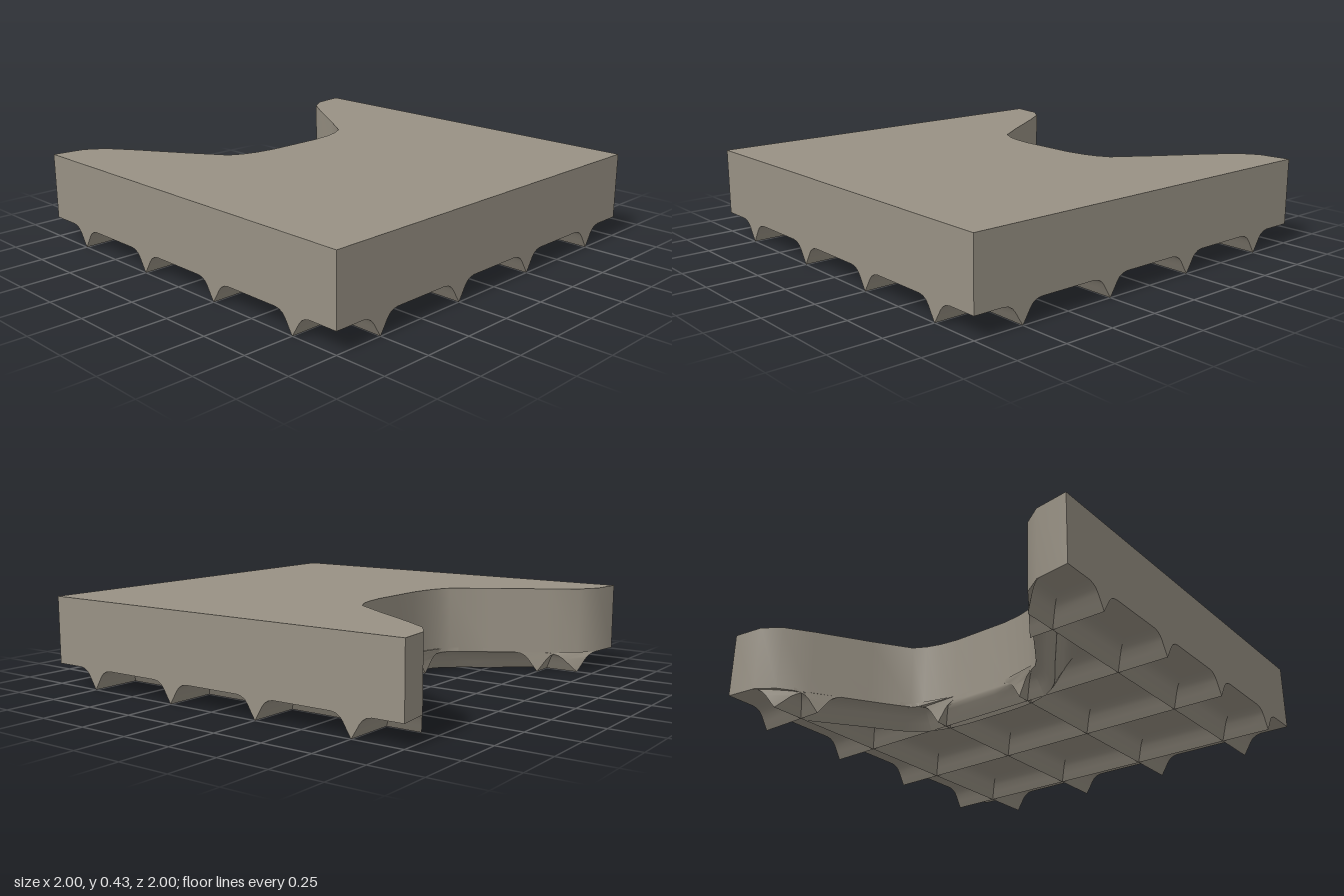
import * as THREE from 'three';
import { toCreasedNormals } from 'three/addons/utils/BufferGeometryUtils.js';

const SLAB_BOTTOM = 0.1, SLAB_TOP = 0.43;

// Half of the bay edge as [x, z], from the middle to the corner
const BAY = [
  [-0.3, 0], [-0.3, 0.15], [-0.313, 0.25], [-0.335, 0.325], [-0.37, 0.39],
  [-0.55, 0.51], [-0.79, 0.66], [-0.92, 0.75], [-0.98, 0.84], [-1, 1],
];

// Linear lookup in the bay edge: find column "to" for a value of column "from"
function lookup(value, from, to) {
  for (let i = 1; i < BAY.length; i++) {
    const a = BAY[i - 1], b = BAY[i];
    const lo = Math.min(a[from], b[from]), hi = Math.max(a[from], b[from]);
    if (hi > lo && value >= lo && value <= hi) {
      return a[to] + (b[to] - a[to]) * (value - a[from]) / (b[from] - a[from]);
    }
  }
  return BAY[BAY.length - 1][to];
}
const bayX = (z) => lookup(Math.abs(z), 1, 0);
const bayZ = (x) => lookup(x, 0, 1);

// Pointed rib section with concave flares, its root sunk into the slab
function ribSection() {
  const half = [[0.1, 0.12], [0.1, 0.1], [0.075, 0.095], [0.055, 0.083], [0.04, 0.065], [0.022, 0.035]];
  const left = half.map(([u, v]) => new THREE.Vector2(-u, v));
  const right = half.map(([u, v]) => new THREE.Vector2(u, v)).reverse();
  return new THREE.Shape([...left, new THREE.Vector2(0, 0), ...right]);
}

// Extrude the section over s = 0..1 and place each point with map(u, s) -> [x, z]
function ribGeometry(steps, map) {
  const g = new THREE.ExtrudeGeometry(ribSection(), { depth: 1, steps, bevelEnabled: false });
  const p = g.attributes.position;
  for (let i = 0; i < p.count; i++) {
    const [x, z] = map(p.getX(i), p.getZ(i));
    p.setXYZ(i, x, p.getY(i), z);
  }
  return toCreasedNormals(g, 0.6);
}

export function createModel() {
  const group = new THREE.Group();
  const stone = new THREE.MeshStandardMaterial({ color: 0x989184 });
  stone.name = 'warm grey stone';
  const add = (name, geometry) => {
    const mesh = new THREE.Mesh(geometry, stone);
    mesh.name = name;
    group.add(mesh);
  };
  const lerp = THREE.MathUtils.lerp;

  // Slab with the bay cut out of one side
  const edge = [
    ...BAY.slice(1).reverse().map(([x, z]) => new THREE.Vector2(x, z)),
    ...BAY.map(([x, z]) => new THREE.Vector2(x, -z)),
    new THREE.Vector2(1, -1), new THREE.Vector2(1, 1),
  ];
  const slab = new THREE.ExtrudeGeometry(new THREE.Shape(edge), {
    depth: SLAB_TOP - SLAB_BOTTOM, bevelEnabled: false,
  });
  slab.rotateX(-Math.PI / 2).translate(0, SLAB_BOTTOM, 0);
  add('slab', toCreasedNormals(slab, 0.5));

  // Ribs running side to side, ending flush with the bay edge
  for (const z of [-0.75, -0.25, 0.25, 0.75]) {
    add('crossRib', ribGeometry(1, (u, s) => [lerp(bayX(z - u), 1, s), z - u]));
  }

  // Ribs running front to back
  for (const x of [-0.25, 0.25, 0.75]) {
    add('longRib', ribGeometry(24, (u, s) => {
      const z = lerp(-1, 1, s);
      return [Math.max(x + u, bayX(z)), z];
    }));
  }
  // Short ribs under the two arms beside the bay
  add('armRibFront', ribGeometry(1, (u, s) => [-0.75 + u, lerp(bayZ(-0.75 + u), 1, s)]));
  add('armRibBack', ribGeometry(1, (u, s) => [-0.75 + u, lerp(-1, -bayZ(-0.75 + u), s)]));

  // Curved rib following the bay a little way in from its edge
  const half = [[-0.72, 0.75], [-0.5, 0.585], [-0.3, 0.43], [-0.235, 0.31], [-0.21, 0.15]];
  const path = new THREE.CatmullRomCurve3([
    ...half.map(([x, z]) => new THREE.Vector3(x, 0, -z)),
    new THREE.Vector3(-0.21, 0, 0),
    ...half.map(([x, z]) => new THREE.Vector3(x, 0, z)).reverse(),
  ]);
  add('bayRib', ribGeometry(32, (u, s) => {
    const p = path.getPointAt(s), t = path.getTangentAt(s);
    const z = p.z - t.x * u;
    return [Math.max(p.x + t.z * u, bayX(z)), z];
  }));

  return group;
}
